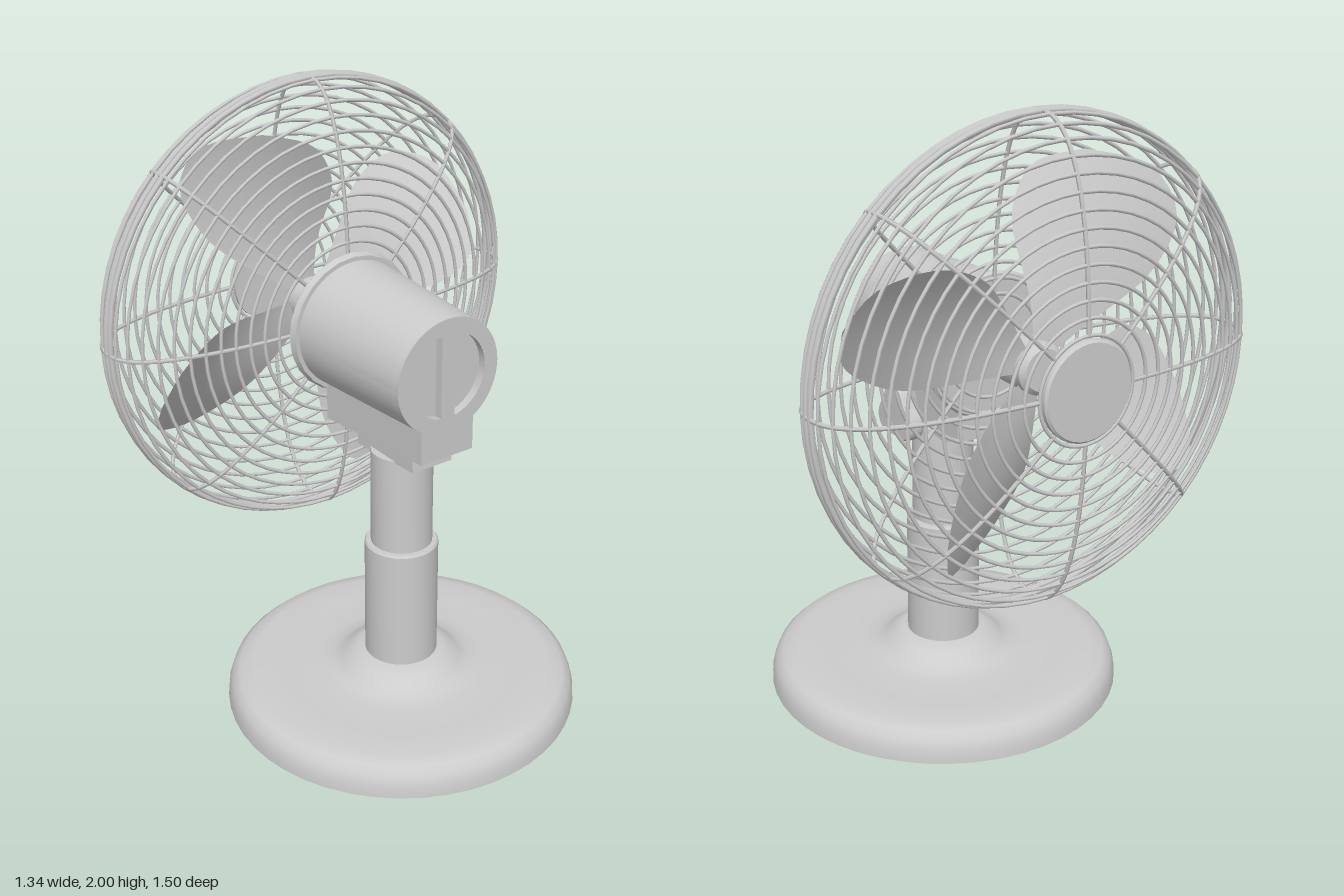
import * as THREE from 'three';
import { toCreasedNormals } from 'three/addons/utils/BufferGeometryUtils.js';

const grey = new THREE.MeshStandardMaterial({ color: 0xcccccc });
const thin = new THREE.MeshStandardMaterial({ color: 0xcccccc, side: THREE.DoubleSide });
const AXIS_Y = 1.25, CAGE_X = -0.41, CAGE_R = 0.742, COLUMN_X = 0.085;

function add(parent, name, geometry, material = grey) {
  const mesh = new THREE.Mesh(geometry, material);
  mesh.name = name;
  parent.add(mesh);
  return mesh;
}

// Lathe from [radius, height] pairs, bottom to top, with crisp corners
function turned(points, segments = 40) {
  const g = new THREE.LatheGeometry(points.map(([r, y]) => new THREE.Vector2(r, y)), segments);
  return toCreasedNormals(g, 0.6);
}

// Lathe around the fan axis: pairs are [radius, x]
const turnedX = (points, segments) => turned(points, segments).rotateZ(-Math.PI / 2);

// Extrude a shape along +x, starting at x0
function extrudedX(shape, depth, x0) {
  const g = new THREE.ExtrudeGeometry(shape, { depth, bevelEnabled: false, curveSegments: 32 });
  return g.rotateY(Math.PI / 2).translate(x0, 0, 0);
}

// Motor cross-section: a circle with a square foot below
function motorShape() {
  const r = 0.21, half = 0.11, a = Math.acos(half / r);
  const s = new THREE.Shape();
  s.moveTo(-half, -0.305);
  s.lineTo(half, -0.305);
  s.absarc(0, 0, r, -a, Math.PI + a, false);
  s.closePath();
  return s;
}

// Narrow the housing towards its rear end
function taper(g) {
  const p = g.attributes.position;
  for (let i = 0; i < p.count; i++) {
    const k = 1 - 0.115 * (p.getX(i) + 0.17) / 0.48;
    p.setXYZ(i, p.getX(i), p.getY(i) * k, p.getZ(i) * k);
  }
  return toCreasedNormals(g, 0.5);
}

function buildMotor() {
  const motor = new THREE.Group();
  motor.name = 'motor';
  add(motor, 'motorHousing', taper(extrudedX(motorShape(), 0.455, -0.17)));
  // Rear rim with two half-round recesses either side of a vertical bar
  const rear = motorShape(), r = 0.155, b = Math.acos(0.028 / r);
  for (const start of [0, Math.PI]) {
    const hole = new THREE.Path();
    hole.absarc(0, 0, r, start - b, start + b, false);
    hole.closePath();
    rear.holes.push(hole);
  }
  add(motor, 'motorRearRim', taper(extrudedX(rear, 0.028, 0.285)));
  add(motor, 'motorCollar', turnedX([[0, -0.2], [0.225, -0.2], [0.232, -0.19], [0.225, -0.168], [0, -0.168]], 24));
  return motor;
}

// Cage outline: a squared-off ellipse, a = 0 on the axis and PI / 2 at the rim
function cagePoint(a, depth) {
  return new THREE.Vector3(CAGE_X + depth * Math.cos(a) ** 0.8, CAGE_R * Math.sin(a) ** 0.8, 0);
}

function buildCage() {
  const cage = new THREE.Group();
  cage.name = 'cage';
  const ring = (name, radius, x, tube) => {
    const mesh = add(cage, name, new THREE.TorusGeometry(radius, tube, 6, 56));
    mesh.rotation.y = Math.PI / 2;
    mesh.position.x = x;
  };
  // Front and back halves share the same ring radii
  const curve = depth => new THREE.CatmullRomCurve3(
    Array.from({ length: 25 }, (_, i) => cagePoint(Math.PI / 2 + (0.15 - Math.PI / 2) * i / 24, depth)));
  const radii = curve(-0.25).getSpacedPoints(14).slice(1).map(p => p.y);
  for (const depth of [-0.25, 0.21]) {
    for (const r of radii) ring('cageRing', r, cagePoint(Math.asin((r / CAGE_R) ** 1.25), depth).x, 0.006);
    const wire = new THREE.TubeGeometry(curve(depth), 24, 0.007, 5);
    for (let i = 0; i < 8; i++) add(cage, 'cageSpoke', wire).rotation.x = i * Math.PI / 4;
  }
  for (const side of [-1, 1]) ring('cageRim', 0.74, CAGE_X + side * 0.013, 0.01);
  add(cage, 'cageFrontDisc', turnedX([[0, -0.672], [0.145, -0.672], [0.152, -0.665], [0.152, -0.65], [0, -0.65]], 32));
  return cage;
}

// One blade: a sheet stretched between its two edges, twisted more towards the tip
function bladeGeometry() {
  const edge = pts => new THREE.SplineCurve(pts.map(p => new THREE.Vector2(...p)));
  const outer = edge([[0.05, 0.03], [0.22, 0.15], [0.33, 0.26], [0.39, 0.42], [0.34, 0.56], [0.2, 0.602]]);
  const inner = edge([[-0.01, 0.06], [-0.01, 0.2], [-0.025, 0.38], [0.01, 0.49], [0.08, 0.57], [0.2, 0.602]]);
  const g = new THREE.PlaneGeometry(1, 1, 8, 20);
  const p = g.attributes.position;
  for (let i = 0; i < p.count; i++) {
    const t = p.getY(i) + 0.5;
    const q = inner.getPoint(t).lerp(outer.getPoint(t), p.getX(i) + 0.5);
    const chord = q.x * 0.906 - q.y * 0.423;
    p.setXYZ(i, -0.42 - 1.3 * chord * q.length(), q.y, q.x);
  }
  g.computeVertexNormals();
  return g;
}

function buildFan() {
  const fan = new THREE.Group();
  fan.name = 'fan';
  const blade = bladeGeometry();
  for (let i = 0; i < 4; i++) add(fan, 'blade', blade, thin).rotation.x = i * Math.PI / 2;
  add(fan, 'hub', turnedX([[0, -0.46], [0.065, -0.46], [0.08, -0.445], [0.08, -0.28], [0.06, -0.28],
    [0.06, -0.265], [0.08, -0.265], [0.08, -0.225], [0.05, -0.225], [0.05, -0.19], [0, -0.19]], 24));
  return fan;
}

// Three-lobed tightening knob on the right-hand side of the neck
function buildKnob() {
  const knob = new THREE.Group();
  knob.name = 'knob';
  const outline = [];
  for (let i = 0; i < 36; i++) {
    const a = i * Math.PI / 18, r = 0.085 + 0.014 * Math.cos(3 * (a - Math.PI / 2));
    outline.push(new THREE.Vector2(r * Math.cos(a), r * Math.sin(a)));
  }
  const grip = new THREE.ExtrudeGeometry(new THREE.Shape(outline),
    { depth: 0.035, bevelSize: 0.006, bevelThickness: 0.01, bevelSegments: 1 });
  add(knob, 'knobGrip', toCreasedNormals(grip, 0.5)).position.z = -0.172;
  const stem = add(knob, 'knobStem', new THREE.CylinderGeometry(0.03, 0.03, 0.1, 16));
  stem.rotation.x = Math.PI / 2;
  stem.position.set(0, -0.02, -0.09);
  knob.position.set(COLUMN_X + 0.005, 0.972, 0);
  return knob;
}

export function createModel() {
  const model = new THREE.Group();
  model.name = 'deskFan';

  // Base and telescopic column
  const stand = new THREE.Group();
  stand.name = 'stand';
  stand.position.x = COLUMN_X;
  add(stand, 'base', turned([[0, 0], [0.585, 0], [0.582, 0.035], [0.57, 0.07], [0.545, 0.092], [0.5, 0.102],
    [0.4, 0.1], [0.28, 0.1], [0.23, 0.107], [0.195, 0.125], [0.17, 0.15], [0.14, 0.163], [0, 0.163]], 48));
  add(stand, 'lowerColumn', turned([[0, 0.15], [0.12, 0.15], [0.12, 0.575], [0.115, 0.582], [0, 0.582]]));
  add(stand, 'upperColumn', turned([[0, 0.57], [0.1, 0.57], [0.1, 0.915], [0, 0.915]]));
  const neck = add(stand, 'neckBlock', new THREE.BoxGeometry(0.29, 0.08, 0.15));
  neck.position.set(0.01, 0.945, 0);
  neck.rotation.z = 0.07;
  model.add(stand, buildKnob());

  // Fan head, turned about the horizontal axis
  const head = new THREE.Group();
  head.name = 'head';
  head.position.y = AXIS_Y;
  head.add(buildMotor(), buildCage(), buildFan());
  model.add(head);
  return model;
}
